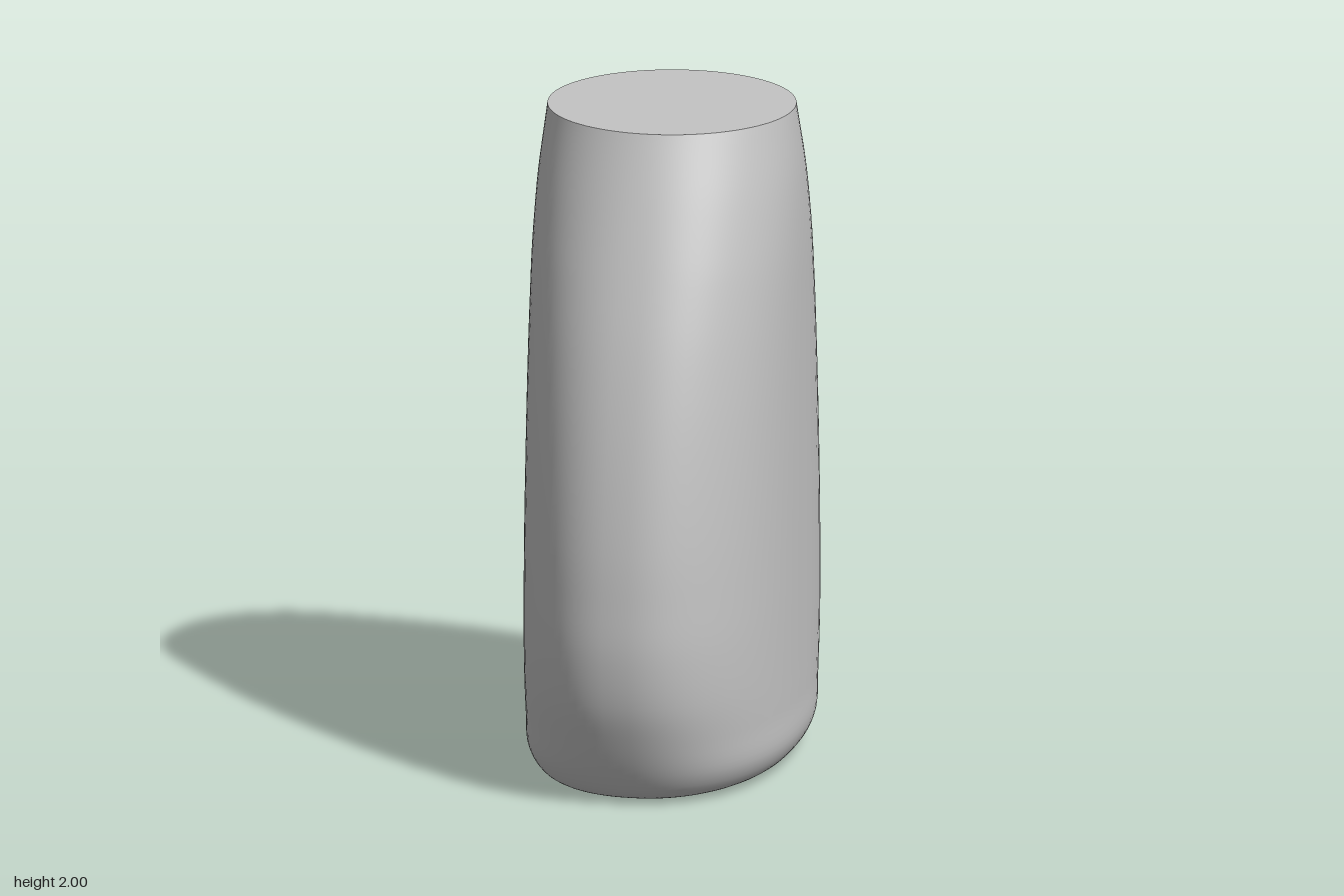
import * as THREE from 'three';

const SEGMENTS = 96;
const RINGS = 72;

// Cross-sections from base to top: height, half width (x), half depth (z), roundness exponent
const SECTIONS = [
  [0, 0.26, 0.5, 2.3], [0.008, 0.31, 0.56, 2.3], [0.03, 0.365, 0.602, 2.32],
  [0.09, 0.398, 0.642, 2.35], [0.2, 0.4, 0.69, 2.35], [0.32, 0.4, 0.728, 2.35],
  [0.48, 0.4, 0.746, 2.35], [0.65, 0.4, 0.739, 2.35], [0.8, 0.4, 0.725, 2.35],
  [1.0, 0.4, 0.694, 2.35], [1.2, 0.4, 0.652, 2.35], [1.4, 0.4, 0.598, 2.33],
  [1.6, 0.399, 0.53, 2.28], [1.8, 0.391, 0.453, 2.15], [2.0, 0.37, 0.37, 2],
];

// Smoothly interpolated section at t in 0..1
const sizes = new THREE.CatmullRomCurve3(SECTIONS.map(([y, x, z]) => new THREE.Vector3(x, y, z)), false, 'centripetal');
function sectionAt(t) {
  const p = sizes.getPoint(t);
  const f = t * (SECTIONS.length - 1);
  const i = Math.min(Math.floor(f), SECTIONS.length - 2);
  return { y: p.y, x: p.x, z: p.z, n: THREE.MathUtils.lerp(SECTIONS[i][3], SECTIONS[i + 1][3], f - i) };
}

// Superellipse outline of one section
function outline({ x, y, z, n }) {
  const bend = (v) => Math.sign(v) * Math.abs(v) ** (2 / n);
  return Array.from({ length: SEGMENTS }, (_, j) => {
    const a = (j / SEGMENTS) * Math.PI * 2;
    return [x * bend(Math.cos(a)), y, z * bend(Math.sin(a))];
  });
}

function makeGeometry(points, index) {
  const geometry = new THREE.BufferGeometry();
  geometry.setAttribute('position', new THREE.Float32BufferAttribute(points.flat(), 3));
  geometry.setIndex(index);
  geometry.computeVertexNormals();
  return geometry;
}

// Closed side wall lofted through all sections
function wallGeometry() {
  const points = [];
  const index = [];
  for (let i = 0; i <= RINGS; i++) points.push(...outline(sectionAt(i / RINGS)));
  for (let i = 0; i < RINGS; i++) {
    for (let j = 0; j < SEGMENTS; j++) {
      const a = i * SEGMENTS + j;
      const b = i * SEGMENTS + ((j + 1) % SEGMENTS);
      index.push(a, a + SEGMENTS, b, b, a + SEGMENTS, b + SEGMENTS);
    }
  }
  return makeGeometry(points, index);
}

// Flat fan closing one end
function capGeometry(t, up) {
  const section = sectionAt(t);
  const points = [...outline(section), [0, section.y, 0]];
  const index = [];
  for (let j = 0; j < SEGMENTS; j++) {
    const k = (j + 1) % SEGMENTS;
    index.push(SEGMENTS, up ? k : j, up ? j : k);
  }
  return makeGeometry(points, index);
}

export function createModel() {
  const group = new THREE.Group();
  group.name = 'taperedBody';
  const grey = new THREE.MeshStandardMaterial({ color: 0xc4c4c4 });
  grey.name = 'plain grey';

  const add = (name, geometry) => {
    const mesh = new THREE.Mesh(geometry, grey);
    mesh.name = name;
    group.add(mesh);
  };
  add('sideWall', wallGeometry());
  add('topFace', capGeometry(1, true));
  add('baseFace', capGeometry(0, false));
  return group;
}
